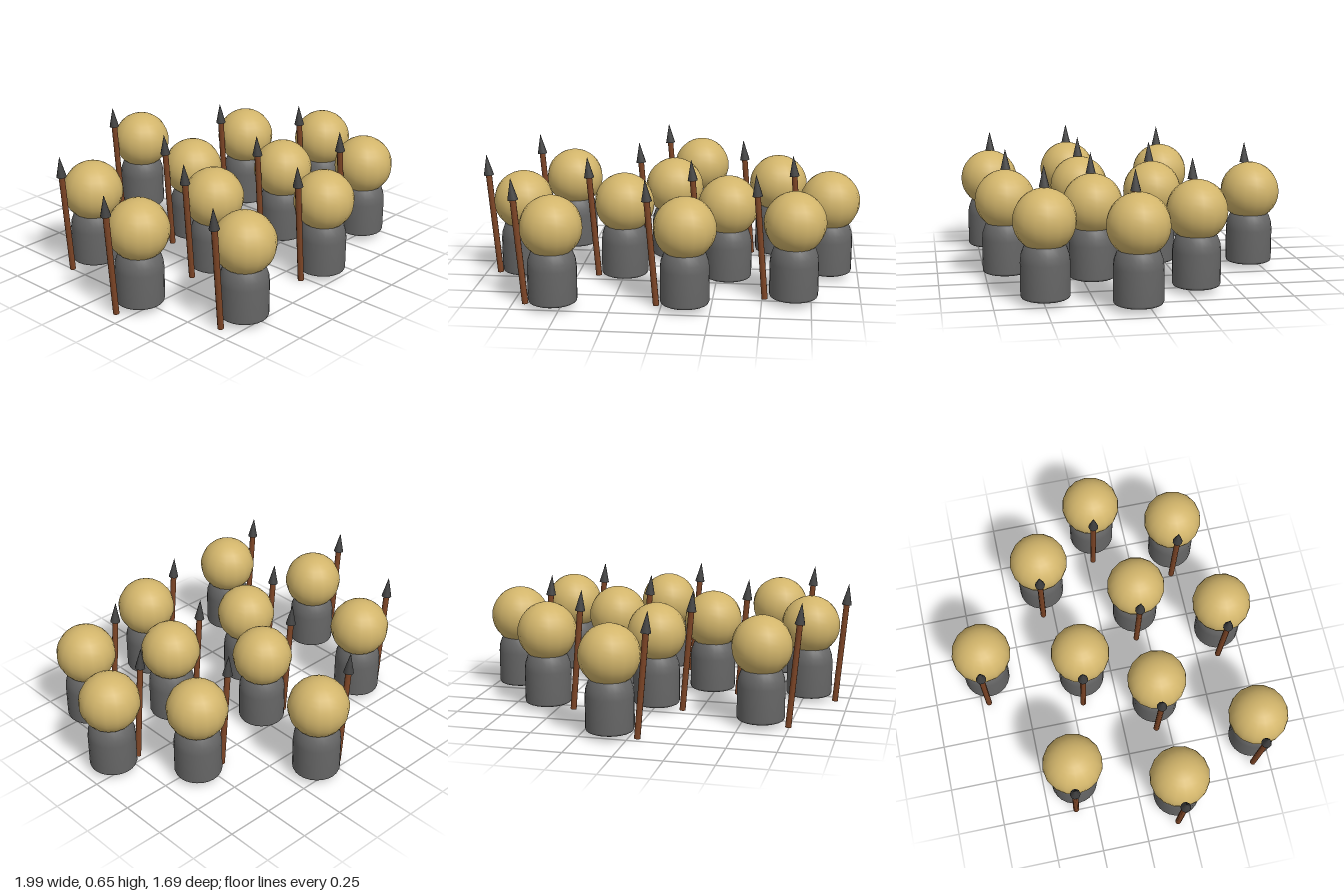
import * as THREE from 'three';

const mat = (color) => new THREE.MeshStandardMaterial({ color });

export function createModel() {
  const model = new THREE.Group();
  const tan = mat(0xd2b56b), grey = mat(0x666666), wood = mat(0x7d4526), iron = mat(0x404040);

  // Rounded peg body: small bevel at the foot, domed shoulders under the head
  const profile = [[0, 0.028], [0.112, 0.028], [0.12, 0.032], [0.124, 0.042], [0.124, 0.21]];
  for (let i = 1; i <= 6; i++) {
    const a = (i / 6) * Math.PI / 2;
    profile.push([0.124 * Math.cos(a), 0.21 + 0.145 * Math.sin(a)]);
  }
  const bodyGeo = new THREE.LatheGeometry(profile.map(([r, y]) => new THREE.Vector2(Math.max(r, 0), y)), 24);
  const headGeo = new THREE.SphereGeometry(0.158, 16, 16);
  const shaftGeo = new THREE.CylinderGeometry(0.016, 0.016, 0.55, 10).translate(0, 0.275, 0);
  const tipGeo = new THREE.ConeGeometry(0.027, 0.112, 10).translate(0, 0.598, 0);

  const add = (parent, name, geometry, material) => {
    const mesh = new THREE.Mesh(geometry, material);
    mesh.name = name;
    parent.add(mesh);
    return mesh;
  };

  // Standing positions (x, z) of the figures
  const places = [
    [0.10, -0.69], [-0.60, -0.33], [-0.01, -0.17], [0.56, -0.29],
    [0.84, 0.06], [-0.78, 0.20], [-0.24, 0.20], [0.31, 0.205],
    [0.66, 0.49], [-0.54, 0.68], [0.12, 0.64],
  ];

  for (const [x, z] of places) {
    const figure = new THREE.Group();
    figure.name = 'figure';
    figure.position.set(x, 0, z);
    add(figure, 'body', bodyGeo, grey);
    add(figure, 'head', headGeo, tan).position.y = 0.415;

    // Spear leaning outward on the figure's right
    const spear = new THREE.Group();
    spear.name = 'spear';
    spear.position.set(-0.146, 0.001, -0.02);
    spear.rotation.z = 0.083;
    add(spear, 'spearShaft', shaftGeo, wood);
    add(spear, 'spearTip', tipGeo, iron);
    figure.add(spear);
    model.add(figure);
  }
  return model;
}
